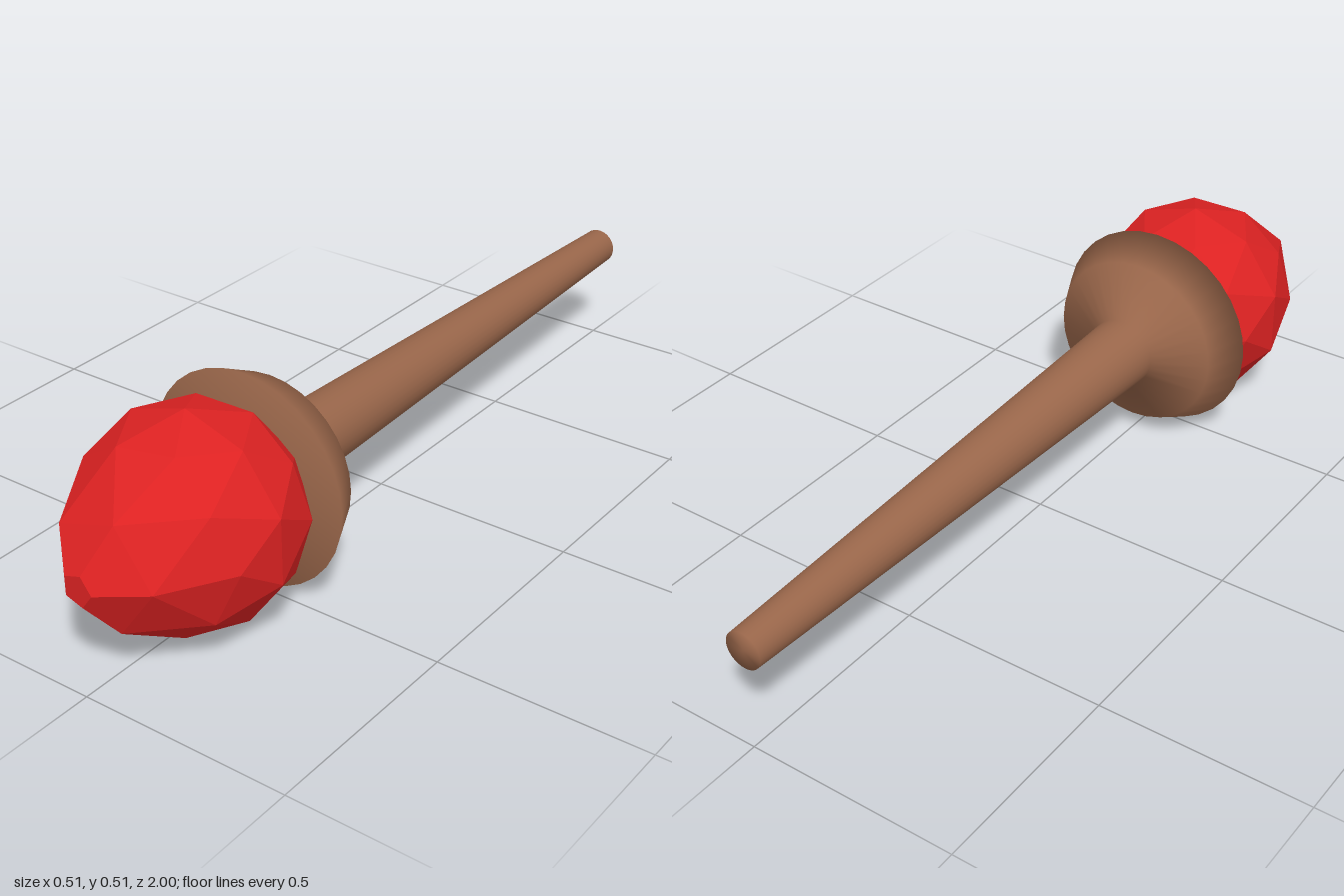
import * as THREE from 'three';
import { ConvexGeometry } from 'three/addons/geometries/ConvexGeometry.js';

const AXIS_Y = 0.254;

// Ring of points around the z axis, angles in degrees
function ring(count, radius, z, startAngle) {
  return Array.from({ length: count }, (_, i) => {
    const a = THREE.MathUtils.degToRad(startAngle + (i * 360) / count);
    return new THREE.Vector3(radius * Math.cos(a), radius * Math.sin(a), z);
  });
}

// Faceted gem: a low-poly sphere with its front drawn out to a small flat tip
function createGem() {
  const points = [
    ...ring(5, 0.038, 1.0, 0),
    ...ring(5, 0.132, 0.93, 0),
    ...ring(5, 0.213, 0.8, 36),
    ...ring(5, 0.224, 0.778, 0),
    ...ring(10, 0.25, 0.667, 18),
    ...ring(5, 0.224, 0.555, 36),
    ...ring(5, 0.213, 0.536, 0),
    ...ring(5, 0.132, 0.454, 36),
    new THREE.Vector3(0, 0, 0.417),
  ];
  const gem = new THREE.Mesh(
    new ConvexGeometry(points),
    new THREE.MeshStandardMaterial({ color: 0xdd2222, flatShading: true })
  );
  gem.name = 'gem';
  return gem;
}

// Tapered handle flaring into the cup that holds the gem, turned in one piece
function createHandle() {
  const profile = [
    [0, -1], [0.045, -1], [0.084, 0.34], [0.21, 0.4], [0.254, 0.49], [0, 0.49],
  ].map(([r, z]) => new THREE.Vector2(r, z));
  const geometry = new THREE.LatheGeometry(profile, 32);
  geometry.rotateX(Math.PI / 2);
  const handle = new THREE.Mesh(
    geometry,
    new THREE.MeshStandardMaterial({ color: 0x99664a, side: THREE.DoubleSide })
  );
  handle.name = 'handleAndCup';
  return handle;
}

export function createModel() {
  const model = new THREE.Group();
  model.name = 'gemWand';
  model.add(createHandle(), createGem());
  for (const part of model.children) part.position.y = AXIS_Y;
  return model;
}
